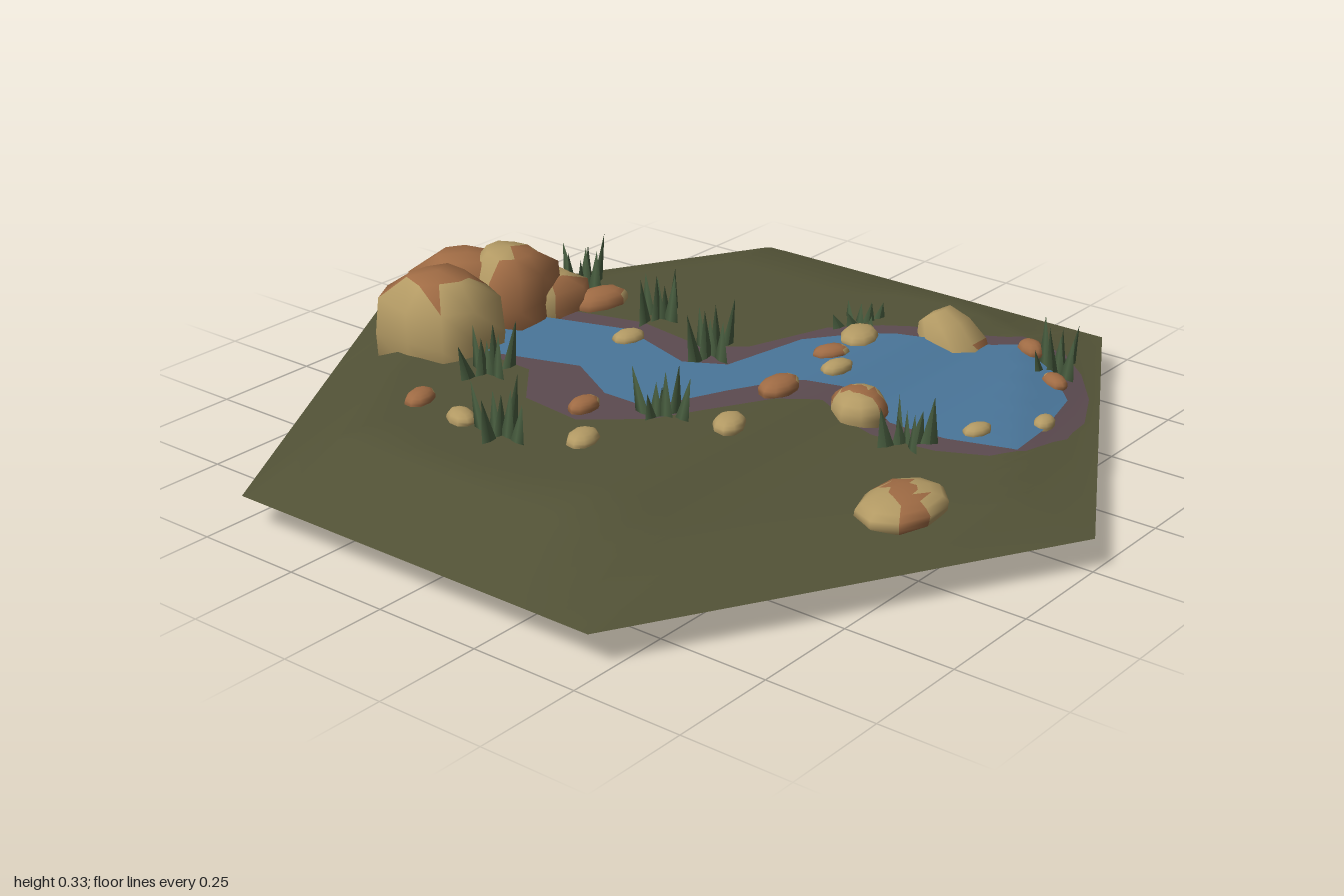
import * as THREE from 'three';
import { mergeVertices, mergeGeometries } from 'three/addons/utils/BufferGeometryUtils.js';

const mat = (name, color, side = THREE.FrontSide) => {
  const m = new THREE.MeshStandardMaterial({ color, side });
  m.name = name;
  return m;
};
const clamp = THREE.MathUtils.clamp, lerp = THREE.MathUtils.lerp;

let seed = 7;
const rnd = () => (seed = (seed * 16807) % 2147483647) / 2147483647;

// piecewise linear lookup in [key, value] pairs
function lookup(table, k) {
  if (k <= table[0][0]) return table[0][1];
  for (let i = 1; i < table.length; i++) {
    const [k0, v0] = table[i - 1], [k1, v1] = table[i];
    if (k <= k1) return lerp(v0, v1, (k - k0) / (k1 - k0));
  }
  return table[table.length - 1][1];
}

// x of the stream edges as functions of z
const bankL = [[-1, 0], [-0.57, -0.05], [-0.54, -0.2], [-0.32, -0.21], [-0.22, -0.33], [-0.06, -0.35], [0.06, -0.25],
  [0.12, -0.14], [0.2, 0], [0.27, 0.08], [0.42, 0.05], [0.56, 0.08], [0.66, 0.14], [0.7, 0.22], [0.715, 0.36], [1, 0]];
const bankR = [[-1, 0], [-0.57, -0.05], [-0.54, 0.09], [-0.45, 0.12], [-0.3, 0.16], [-0.1, 0.13], [-0.02, 0.2], [0.05, 0.4],
  [0.14, 0.49], [0.28, 0.58], [0.38, 0.71], [0.48, 0.74], [0.56, 0.68], [0.64, 0.58], [0.7, 0.46], [0.715, 0.36], [1, 0]];
const waterL = [[-0.52, -0.2], [-0.43, -0.19], [-0.24, -0.13], [-0.1, -0.21], [0.02, -0.21], [0.1, -0.03], [0.17, 0.1],
  [0.3, 0.18], [0.42, 0.12], [0.55, 0.14], [0.69, 0.2]];
const waterR = [[-0.52, 0.03], [-0.46, 0.05], [-0.3, 0.1], [-0.08, 0.03], [0.01, 0.08], [0.05, 0.3], [0.14, 0.42],
  [0.28, 0.52], [0.4, 0.66], [0.52, 0.62], [0.62, 0.52], [0.67, 0.34], [0.69, 0.2]];

// ground height: raised hexagon with a step down towards the front
const FLAT = 0.925;
const stepDown = [[0.2, 0.085], [0.26, 0.076], [0.36, 0.05], [0.45, 0.042], [0.7, 0.03], [1, 0]];
const halfWidth = z => FLAT * clamp((1 - Math.abs(z)) / 0.53, 0, 1);
function baseHeight(x, z) {
  const t = Math.max(Math.abs(x) / FLAT, Math.abs(z) + Math.abs(x) * 0.573);
  return 0.07 + clamp((1 - t) / 0.2, 0, 1) * lookup(stepDown, z);
}
function groundHeight(x, z) {
  const inside = Math.min(x - lookup(bankL, z), lookup(bankR, z) - x);
  return baseHeight(x, z) - 0.014 * clamp(inside / 0.07, 0, 1);
}

// sheet lofted from rows of x values; isBank picks the second material
function sheet(zs, rowOf, height, isBank) {
  const pos = [], nor = [], lists = [[], []], n = new THREE.Vector3(), e = 0.04;
  const cols = rowOf(zs[0]).length;
  zs.forEach((z, i) => rowOf(z).forEach((x, j) => {
    pos.push(x, height(x, z), z);
    n.set(baseHeight(x - e, z) - baseHeight(x + e, z), 2 * e, baseHeight(x, z - e) - baseHeight(x, z + e)).normalize();
    nor.push(n.x, n.y, n.z);
    if (i === zs.length - 1 || j === cols - 1) return;
    const a = i * cols + j, b = a + cols;
    lists[isBank(j) ? 1 : 0].push(a, b, b + 1, a, b + 1, a + 1);
  }));
  const g = new THREE.BufferGeometry();
  g.setAttribute('position', new THREE.Float32BufferAttribute(pos, 3));
  g.setAttribute('normal', new THREE.Float32BufferAttribute(nor, 3));
  return grouped(g, lists);
}
function grouped(g, [first, second]) {
  g.setIndex([...first, ...second]);
  g.clearGroups();
  g.addGroup(0, first.length, 0);
  g.addGroup(first.length, second.length, 1);
  return g;
}
const rows = (a, b, n) => Array.from({ length: n + 1 }, (_, i) => lerp(a, b, i / n));

function groundRow(z) {
  const w = halfWidth(z), w8 = 0.8 * halfWidth(z / 0.8);
  const L = clamp(lookup(bankL, z), -w, w), R = clamp(lookup(bankR, z), -w, w);
  const a = Math.min(-w8, L), b = Math.max(w8, R);
  return [-w, ...rows(a, L, 4), ...rows(L, R, 8).slice(1), ...rows(R, b, 4).slice(1), w];
}

// boulder: squarish, slightly irregular ball with a painted band
function stoneGeometry(power, jitter, theta, band) {
  let g = new THREE.SphereGeometry(1, 9, 6, 0, Math.PI * 2, 0, theta);
  g.deleteAttribute('uv');
  g.deleteAttribute('normal');
  g = mergeVertices(g, 1e-3);
  const p = g.attributes.position, v = new THREE.Vector3();
  for (let i = 0; i < p.count; i++) {
    v.fromBufferAttribute(p, i);
    const s = [v.x, v.y, v.z].reduce((sum, c) => sum + Math.abs(c) ** power, 0) ** (-1 / power);
    v.multiplyScalar(s * (1 - jitter * rnd()));
    p.setXYZ(i, v.x, v.y, v.z);
  }
  g.computeVertexNormals();
  const lists = [[], []], idx = g.index.array, c = new THREE.Vector3();
  for (let i = 0; i < idx.length; i += 3) {
    c.set(0, 0, 0);
    for (let k = 0; k < 3; k++) c.add(v.fromBufferAttribute(p, idx[i + k]));
    c.divideScalar(3);
    lists[band(c) ? 1 : 0].push(idx[i], idx[i + 1], idx[i + 2]);
  }
  return grouped(g, lists);
}

// tuft: two crossing rows of flat, leaning blades
function tuftGeometry(tall) {
  const blades = [];
  for (const turn of [0, Math.PI / 2]) {
    const count = turn ? 3 : 4;
    for (let i = 0; i < count; i++) {
      const h = tall * (0.65 + 0.35 * rnd()), along = (i - (count - 1) / 2) * 0.032;
      const b = new THREE.ConeGeometry(0.024, h, 4, 1, true);
      const p = b.attributes.position, lean = along * 0.5 + (rnd() - 0.5) * 0.025;
      for (let k = 0; k < p.count; k++) if (p.getY(k) > 0) p.setX(k, p.getX(k) + lean);
      b.scale(1, 1, 0.2).translate(along, h / 2, (rnd() - 0.5) * 0.012).rotateY(turn);
      b.computeVertexNormals();
      blades.push(b);
    }
  }
  return mergeGeometries(blades);
}

export function createModel() {
  seed = 7;
  const model = new THREE.Group();
  model.name = 'streamTile';
  const D = THREE.DoubleSide;
  const grass = mat('grass', 0x535337, D), mud = mat('mud', 0x5c4b50, D), water = mat('water', 0x4a769a, D);
  const tan = mat('tanStone', 0xb39a64), brown = mat('brownStone', 0x9f6b44), leaf = mat('reedGreen', 0x4b6142, D);
  const add = (name, geo, material, parent = model) => {
    const m = new THREE.Mesh(geo, material);
    m.name = name;
    parent.add(m);
    return m;
  };
  const group = name => {
    const g = new THREE.Group();
    g.name = name;
    model.add(g);
    return g;
  };

  // ground with muddy stream bed, and the water lying in it
  add('ground', sheet(rows(-1, 1, 200), groundRow, groundHeight, j => j >= 5 && j < 13), [grass, mud]);
  add('water', sheet(rows(-0.52, 0.69, 121), z => rows(lookup(waterL, z), lookup(waterR, z), 6),
    (x, z) => baseHeight(x, z) + 0.003, () => false), [water, water]);

  // boulders at the spring: centre, half sizes, turn, brown patch rule
  const spring = group('springRocks');
  [
    [-0.21, 0.185, -0.59, 0.125, 0.14, 0.14, 0.05, c => c.y > 0.35 && c.x > -0.6 && c.z < 0.5],
    [-0.04, 0.19, -0.66, 0.135, 0.115, 0.12, -0.15, c => c.x < 0.35 || c.z < -0.5],
    [0.02, 0.2, -0.58, 0.12, 0.12, 0.1, 0.3, c => c.z > 0.2 && c.x < 0.5],
    [0.1, 0.165, -0.55, 0.11, 0.08, 0.085, -0.3, c => c.z > 0.4 && c.x > 0],
  ].forEach(([x, y, z, a, b, c, turn, rule]) => {
    const m = add('springRock', stoneGeometry(4, 0.12, Math.PI, rule), [tan, brown], spring);
    m.position.set(x, y, z);
    m.scale.set(a, b, c);
    m.rotation.y = turn;
  });

  // large tilted stone standing in the bank
  const tilted = add('tiltedStone', stoneGeometry(2.4, 0.08, Math.PI, c => c.y < 0.1 && c.x > 0.1), [tan, brown]);
  tilted.position.set(0.565, 0.1, 0.29);
  tilted.scale.set(0.085, 0.115, 0.075);
  tilted.rotation.x = -0.6;

  // scattered stones: x, z, length, width, half height, turn, kind (0 tan, 1 brown, 2 banded)
  const stones = group('stones');
  [
    [-0.48, -0.39, 0.09, 0.06, 0.02, 0.3, 1], [-0.5, -0.25, 0.085, 0.06, 0.02, 1.1, 0], [-0.42, 0.02, 0.095, 0.065, 0.02, 0.3, 0],
    [-0.29, -0.09, 0.085, 0.055, 0.02, 0, 1], [0.06, -0.26, 0.085, 0.06, 0.02, -0.1, 0], [-0.17, 0.21, 0.1, 0.07, 0.022, 0.4, 0],
    [0.05, 0.175, 0.115, 0.075, 0.025, 0, 1], [0.215, 0.21, 0.09, 0.055, 0.02, -0.1, 0], [0.275, 0.15, 0.09, 0.055, 0.02, -0.5, 1],
    [0.39, 0.145, 0.115, 0.085, 0.025, 0.3, 0], [0.115, 0.34, 0.15, 0.13, 0.05, 0.7, 2], [0.66, 0.435, 0.075, 0.055, 0.025, 1.1, 1],
    [0.57, 0.555, 0.075, 0.05, 0.02, 1.1, 1], [0.215, 0.58, 0.075, 0.05, 0.018, -0.2, 0], [0.365, 0.655, 0.065, 0.045, 0.018, 0.2, 0],
    [-0.18, 0.66, 0.235, 0.165, 0.04, 0, 2], [0.19, -0.455, 0.15, 0.09, 0.035, -0.2, 1],
  ].forEach(([x, z, l, w, h, turn, kind]) => {
    const rules = [() => false, c => c.x < 0.6, c => Math.abs(c.x + 0.5 * c.z) < 0.3];
    const m = add('stone', stoneGeometry(2.3, 0.06, Math.PI * 0.62, rules[kind]), [tan, brown], stones);
    m.position.set(x, baseHeight(x, z) + 0.004, z);
    m.scale.set(l / 2, h, w / 2);
    m.rotation.y = turn;
  });

  // reed tufts along the stream: x, z, turn, height
  const reeds = group('reeds');
  [
    [-0.28, -0.375, -0.15, 0.13], [0.24, -0.55, 0.1, 0.14], [0.21, -0.29, 0, 0.14], [-0.51, -0.13, 1.5, 0.14],
    [0.12, -0.07, -0.15, 0.14], [-0.21, 0.06, 1.5, 0.13], [0.47, 0.09, -0.4, 0.07], [0.07, 0.5, -0.5, 0.12],
    [0.65, 0.51, -0.15, 0.15],
  ].forEach(([x, z, turn, tall]) => {
    const m = add('reedTuft', tuftGeometry(tall), leaf, reeds);
    m.position.set(x, groundHeight(x, z) - 0.018, z);
    m.rotation.y = turn;
  });
  return model;
}
